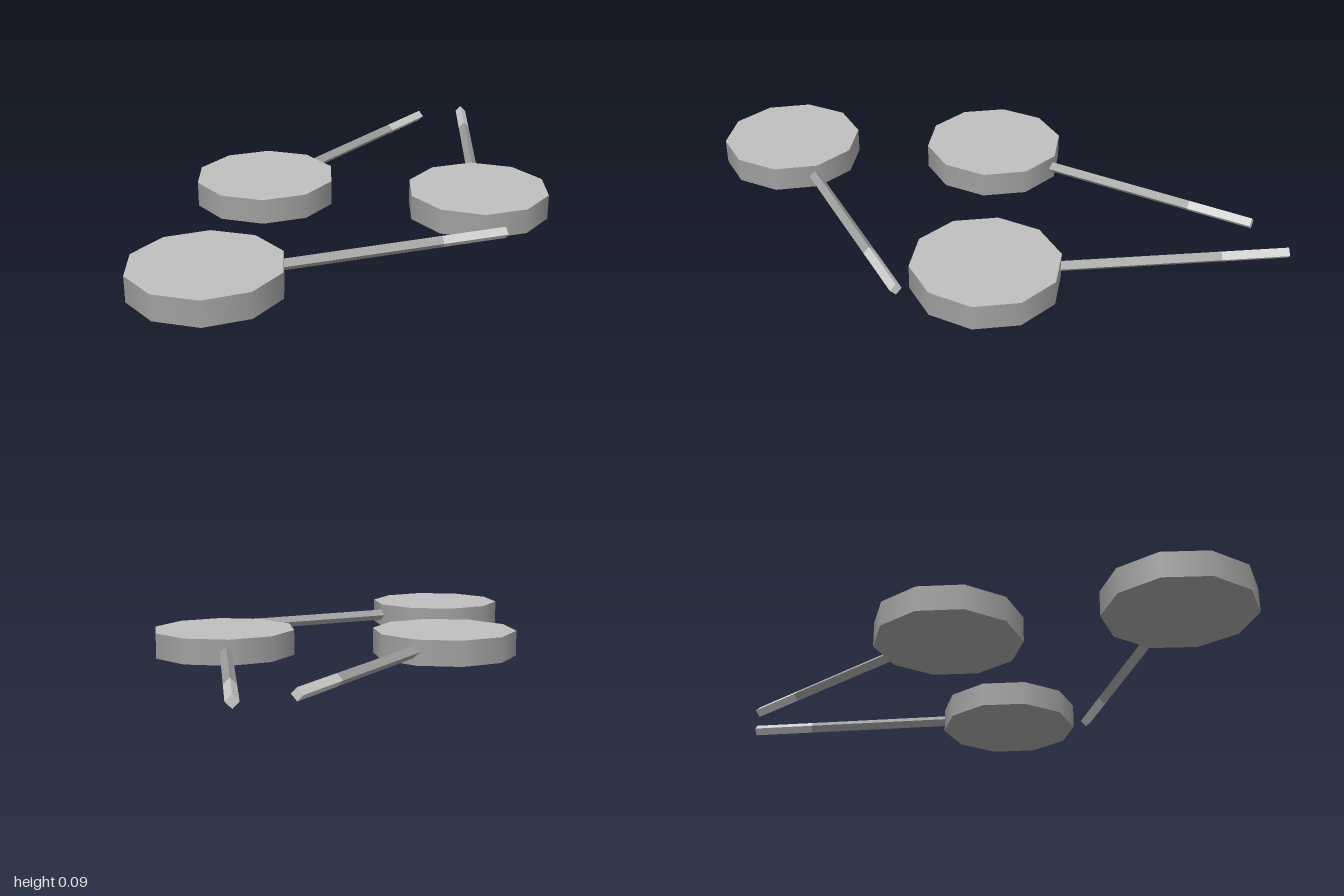
import * as THREE from 'three';

const HEIGHT = 0.088;
const RADIUS = 0.251;
const ROD = 0.0205;
const DEG = Math.PI / 180;

const discGrey = new THREE.MeshStandardMaterial({ color: 0xa0a0a0 });
const topGrey = new THREE.MeshStandardMaterial({ color: 0xbfbfbf });
const tipGrey = new THREE.MeshStandardMaterial({ color: 0xcccccc });
discGrey.name = 'mid grey';
topGrey.name = 'light grey';
tipGrey.name = 'pale grey';

// Four-sided rod along +x with a corner pointing up
function rod(name, from, to, material) {
  let geo = new THREE.CylinderGeometry(ROD, ROD, to - from, 4, 1);
  geo.rotateZ(-Math.PI / 2);
  geo = geo.toNonIndexed();
  geo.computeVertexNormals(); // flat faces
  const mesh = new THREE.Mesh(geo, material);
  mesh.name = name;
  mesh.position.set((from + to) / 2, 0.0455, 0);
  return mesh;
}

// Ten-sided disc with a long handle pointing along its own +x
function paddle(name, x, z, degrees) {
  const group = new THREE.Group();
  group.name = name;

  const discGeo = new THREE.CylinderGeometry(
    RADIUS, RADIUS, HEIGHT, 10, 1, false, Math.PI / 2 + 2 * DEG);
  const disc = new THREE.Mesh(discGeo, [discGrey, topGrey, discGrey]);
  disc.name = 'disc';
  disc.position.y = HEIGHT / 2;

  group.add(
    disc,
    rod('handle', 0.235, 0.784, discGrey),
    rod('handleTip', 0.784, 1.013, tipGrey));
  group.position.set(x, 0, z);
  group.rotation.y = degrees * DEG;
  return group;
}

export function createModel() {
  const model = new THREE.Group();
  model.name = 'threePaddles';
  model.add(
    paddle('rightPaddle', -0.758, 0.211, -19.8),
    paddle('backPaddle', -0.182, -0.297, 14.9),
    paddle('leftPaddle', 0.33, 0.281, 50));
  return model;
}
